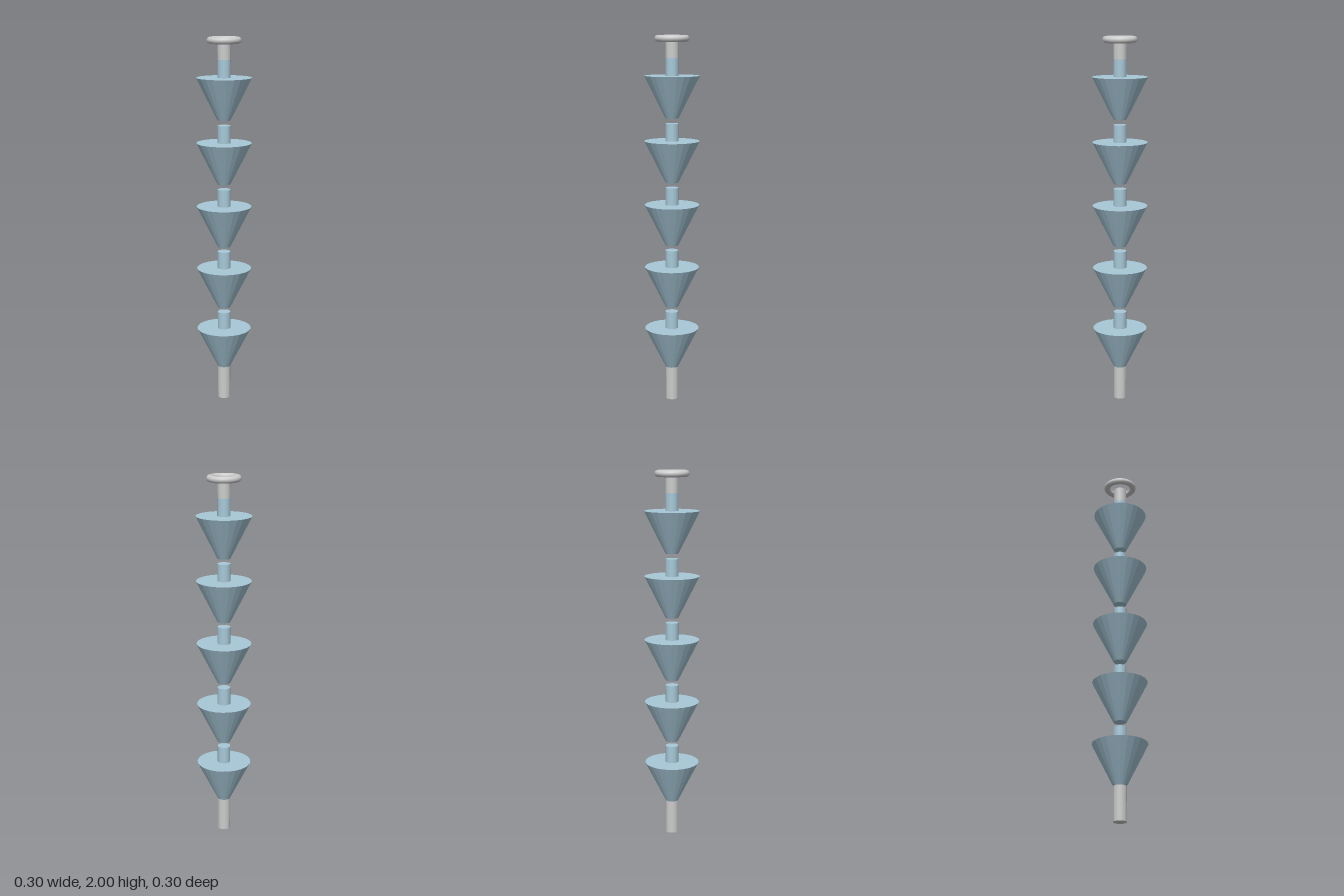
import * as THREE from 'three';

const SIDES = 24;
const ROD_R = 0.035;

export function createModel() {
  const model = new THREE.Group();
  model.name = 'coneStack';

  const grey = new THREE.MeshStandardMaterial({ color: 0xcccccc, flatShading: true });
  const ringGrey = new THREE.MeshStandardMaterial({ color: 0xcccccc });
  const blue = new THREE.MeshStandardMaterial({ color: 0xa8c8d8, flatShading: true });

  // Capped cylinder or cone between two heights
  function post(name, y0, y1, r0, r1, material, parent = model) {
    const mesh = new THREE.Mesh(new THREE.CylinderGeometry(r1, r0, y1 - y0, SIDES), material);
    mesh.position.y = (y0 + y1) / 2;
    mesh.name = name;
    parent.add(mesh);
  }

  // Bottom rod
  post('bottomRod', 0, 0.185, ROD_R, ROD_R, grey);

  // Five flared cones, each with a short neck, separated by small gaps
  for (let i = 0; i < 5; i++) {
    const unit = new THREE.Group();
    unit.name = `coneUnit${i + 1}`;
    unit.position.y = 0.185 + i * 0.345;
    post('cone', 0, 0.224, ROD_R, 0.148, blue, unit);
    post('neck', 0.224, 0.317, ROD_R, ROD_R, blue, unit);
    model.add(unit);
  }

  // Top rod, ending just under the ring
  post('topRod', 1.882, 1.965, ROD_R, ROD_R, grey);

  // Flat hanging ring
  const ring = new THREE.Mesh(new THREE.TorusGeometry(0.0745, 0.0175, 12, SIDES), ringGrey);
  ring.rotation.x = -Math.PI / 2;
  ring.position.y = 1.9825;
  ring.name = 'ring';
  model.add(ring);

  return model;
}
